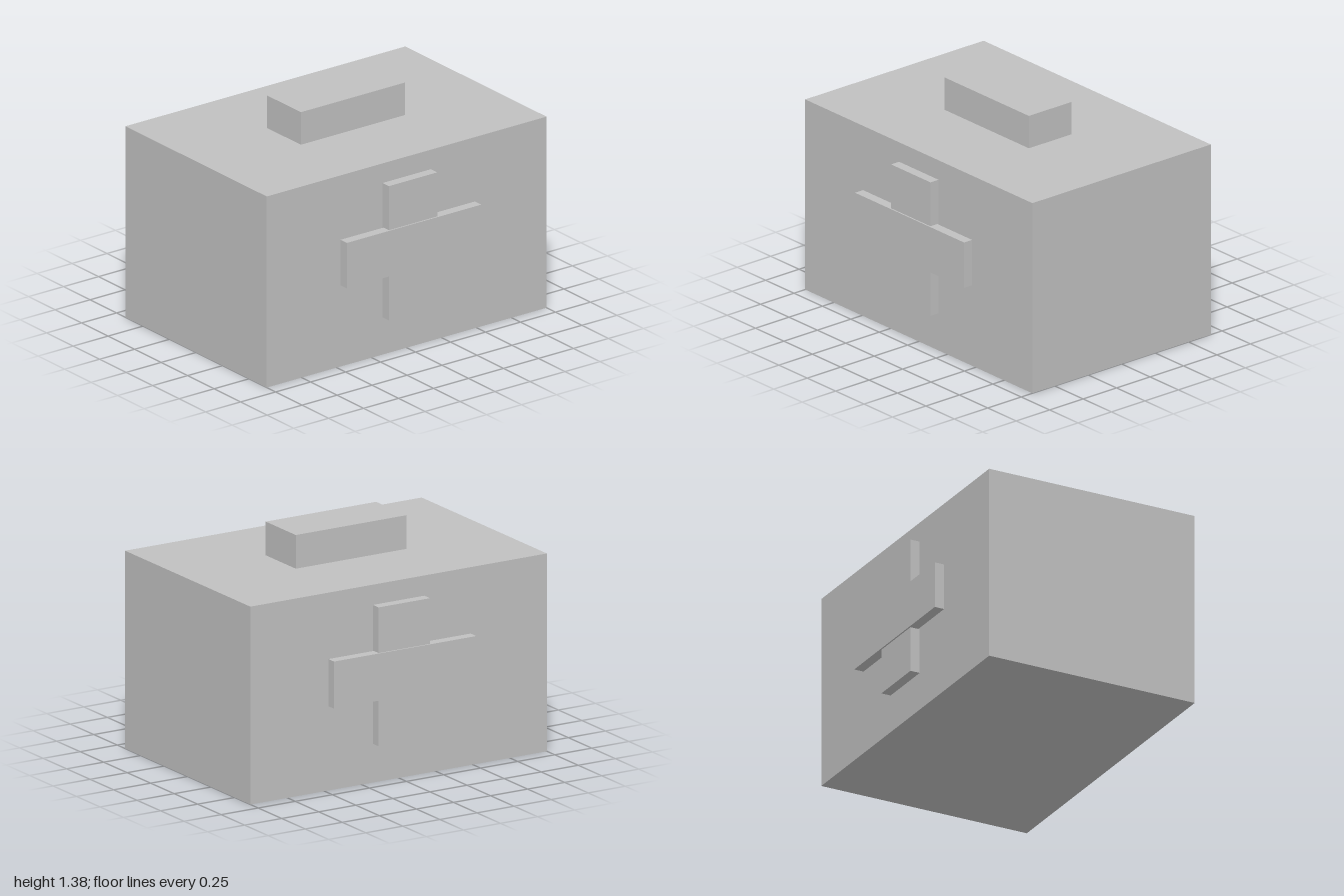
import * as THREE from 'three';

export function createModel() {
  const model = new THREE.Group();
  model.name = 'firstAidBox';
  const grey = new THREE.MeshStandardMaterial({ color: 0xc0c0c0 });
  grey.name = 'grey';

  // Box given by its size, the height of its underside and its centre in z
  function addBox(name, width, height, depth, bottom, z = 0) {
    const mesh = new THREE.Mesh(new THREE.BoxGeometry(width, height, depth), grey);
    mesh.name = name;
    mesh.position.set(0, bottom + height / 2, z);
    model.add(mesh);
  }

  // Case and the grip on its lid
  addBox('case', 2, 1.175, 1.333, 0);
  addBox('handle', 0.745, 0.2, 0.32, 1.175);

  // Raised cross on front and back; the crossbar stands slightly proud
  for (const [side, s] of [['front', 1], ['back', -1]]) {
    addBox(side + 'CrossUpright', 0.347, 0.825, 0.06, 0.23, s * 0.697);
    addBox(side + 'CrossBar', 0.96, 0.28, 0.06, 0.504, s * 0.706);
  }
  return model;
}
